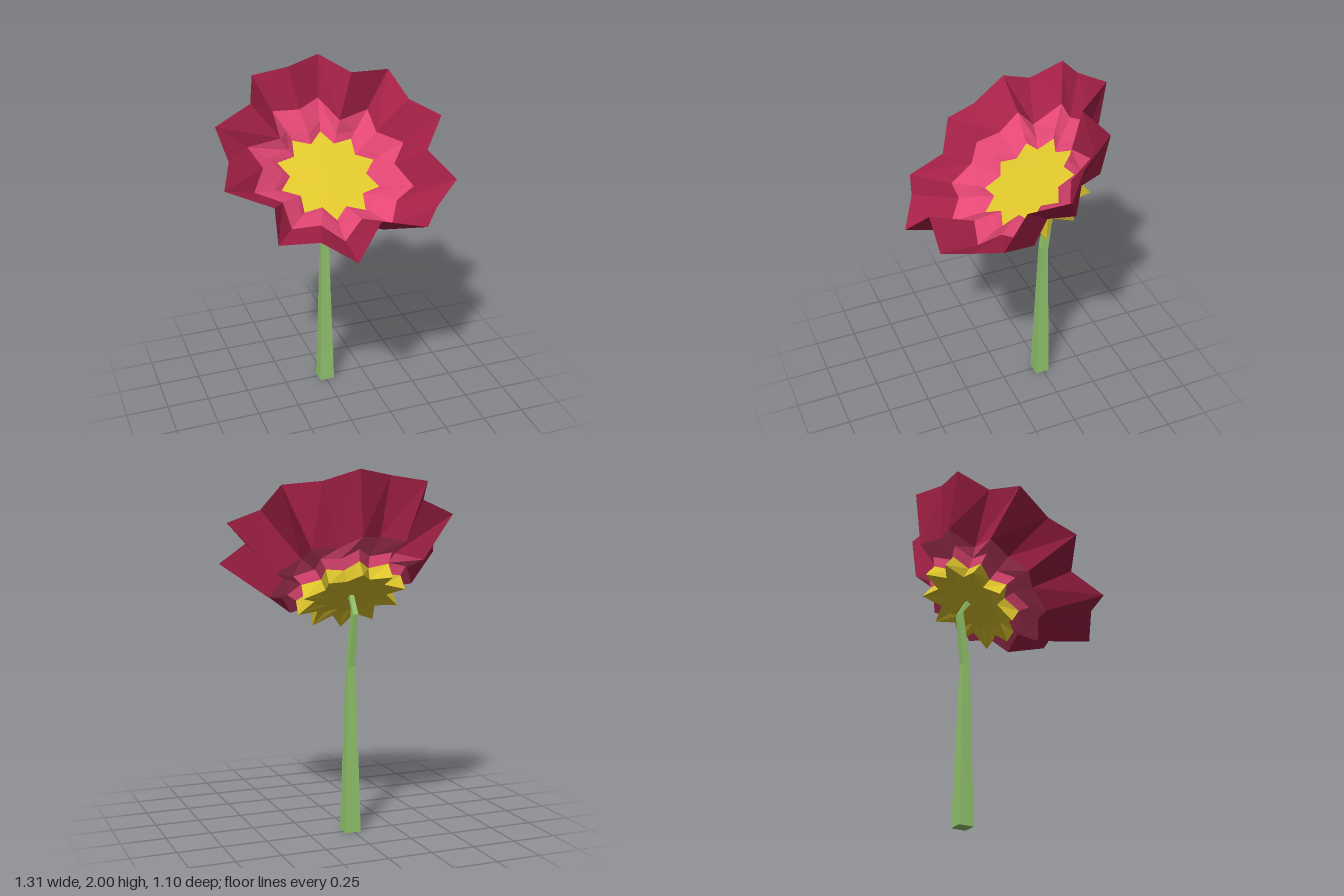
import * as THREE from 'three';

const TILT = THREE.MathUtils.degToRad(34);
const HEAD = new THREE.Vector3(0, 1.425, -0.15); // centre of the flower head
const TIPS = 10;

const mat = (name, color) => {
  const m = new THREE.MeshStandardMaterial({ color, flatShading: true });
  m.name = name;
  return m;
};

// Star loop with ten tips: tip radius, valley radii, tip and valley height along the flower axis
function star(tip, valleys, tipY, valleyY = tipY) {
  return Array.from({ length: TIPS * 2 }, (_, i) => {
    const a = THREE.MathUtils.degToRad(83 + i * 18);
    const r = i % 2 ? valleys[(i - 1) / 2] : tip;
    return new THREE.Vector3(r * Math.cos(a), i % 2 ? valleyY : tipY, -r * Math.sin(a));
  });
}
const even = r => Array(TIPS).fill(r);

// Repeats one centre point so that a loop closes as a fan
const point = y => Array.from({ length: TIPS * 2 }, () => new THREE.Vector3(0, y, 0));

// Skins a list of loops with flat facets; flip swaps the diagonal of each quad
function skin(name, loops, material, flip = false) {
  const pos = [];
  const tri = (a, b, c) => {
    if (a.equals(b) || b.equals(c) || a.equals(c)) return;
    for (const p of [a, b, c]) pos.push(p.x, p.y, p.z);
  };
  for (let i = 0; i + 1 < loops.length; i++) {
    const lo = loops[i], hi = loops[i + 1], n = lo.length;
    for (let j = 0; j < n; j++) {
      const k = (j + 1) % n;
      if (flip) {
        tri(lo[j], lo[k], hi[j]);
        tri(lo[k], hi[k], hi[j]);
      } else {
        tri(lo[j], lo[k], hi[k]);
        tri(lo[j], hi[k], hi[j]);
      }
    }
  }
  const g = new THREE.BufferGeometry();
  g.setAttribute('position', new THREE.Float32BufferAttribute(pos, 3));
  g.computeVertexNormals();
  const mesh = new THREE.Mesh(g, material);
  mesh.name = name;
  return mesh;
}

// Ragged petal rim, tip and valley in turn, from the back round over the right side
const RIM = [
  [0.08, 2.0, -0.55], [-0.12, 1.97, -0.48], [-0.33, 1.94, -0.49], [-0.39, 1.84, -0.32],
  [-0.61, 1.76, -0.25], [-0.59, 1.63, -0.06], [-0.655, 1.53, 0.08], [-0.42, 1.45, 0.2],
  [-0.46, 1.33, 0.39], [-0.25, 1.34, 0.45], [-0.08, 1.24, 0.55], [0.08, 1.41, 0.46],
  [0.33, 1.35, 0.49], [0.44, 1.39, 0.36], [0.605, 1.48, 0.25], [0.5, 1.6, 0.08],
  [0.655, 1.72, -0.09], [0.51, 1.79, -0.22], [0.45, 1.92, -0.39], [0.21, 1.94, -0.35],
];

// Uneven gaps between the petals at their foot, in the same order
const GAPS = [0.385, 0.305, 0.365, 0.36, 0.375, 0.345, 0.39, 0.345, 0.35, 0.3];

export function createModel() {
  const crimson = mat('crimson', 0xa62147);
  const pink = mat('pink', 0xe44774);
  const yellow = mat('yellow', 0xe1c82d);
  const green = mat('green', 0x95c76f);

  const model = new THREE.Group();
  model.name = 'flower';

  // Flower head, tilted to face forward
  const head = new THREE.Group();
  head.name = 'flowerHead';
  head.position.copy(HEAD);
  head.rotation.x = TILT;
  model.add(head);

  const axisX = new THREE.Vector3(1, 0, 0);
  const rim = RIM.map(p => new THREE.Vector3(...p).sub(HEAD).applyAxisAngle(axisX, -TILT));
  const cupEdge = star(0.295, even(0.22), -0.078);
  const petalFoot = star(0.44, GAPS, -0.018, 0.015);
  const innerFoot = star(0.475, GAPS.map(r => r + 0.02), 0.088, 0.1);
  const discEdge = star(0.295, even(0.22), 0.005);

  // Cup below, pink underside, petal wall up to the rim and down again, inner petals, centre disc
  head.add(
    skin('cup', [point(-0.135), star(0.19, even(0.14), -0.13),
      star(0.3, even(0.205), -0.165, -0.14), cupEdge], yellow),
    skin('innerPetalUnderside', [cupEdge, star(0.335, even(0.255), -0.03, -0.025), petalFoot], pink),
    skin('outerPetals', [petalFoot, rim], crimson),
    skin('outerPetalsInside', [rim, innerFoot], crimson, true),
    skin('innerPetals', [innerFoot, star(0.345, even(0.265), 0.035), discEdge], pink, true),
    skin('centreDisc', [discEdge, point(0.01)], yellow),
  );

  // Square stem, bent at the neck: centre x, y, centre z, half width, half depth, front rise
  const sections = [
    [0.005, 0, -0.243, 0.045, 0.043, 0],
    [0.006, 0.945, -0.245, 0.022, 0.02, 0.01],
    [0.0, 1.24, -0.286, 0.015, 0.016, 0.012],
    [0.0, 1.325, -0.232, 0.012, 0.01, -0.012],
  ].map(([x, y, z, w, d, rise]) =>
    [[-1, 1], [1, 1], [1, -1], [-1, -1]].map(([i, j]) =>
      new THREE.Vector3(x + i * w, y + j * rise, z + j * d)));
  const foot = sections[0].map(() => new THREE.Vector3(0.005, 0, -0.243));
  model.add(skin('stem', [foot, ...sections], green));

  return model;
}
